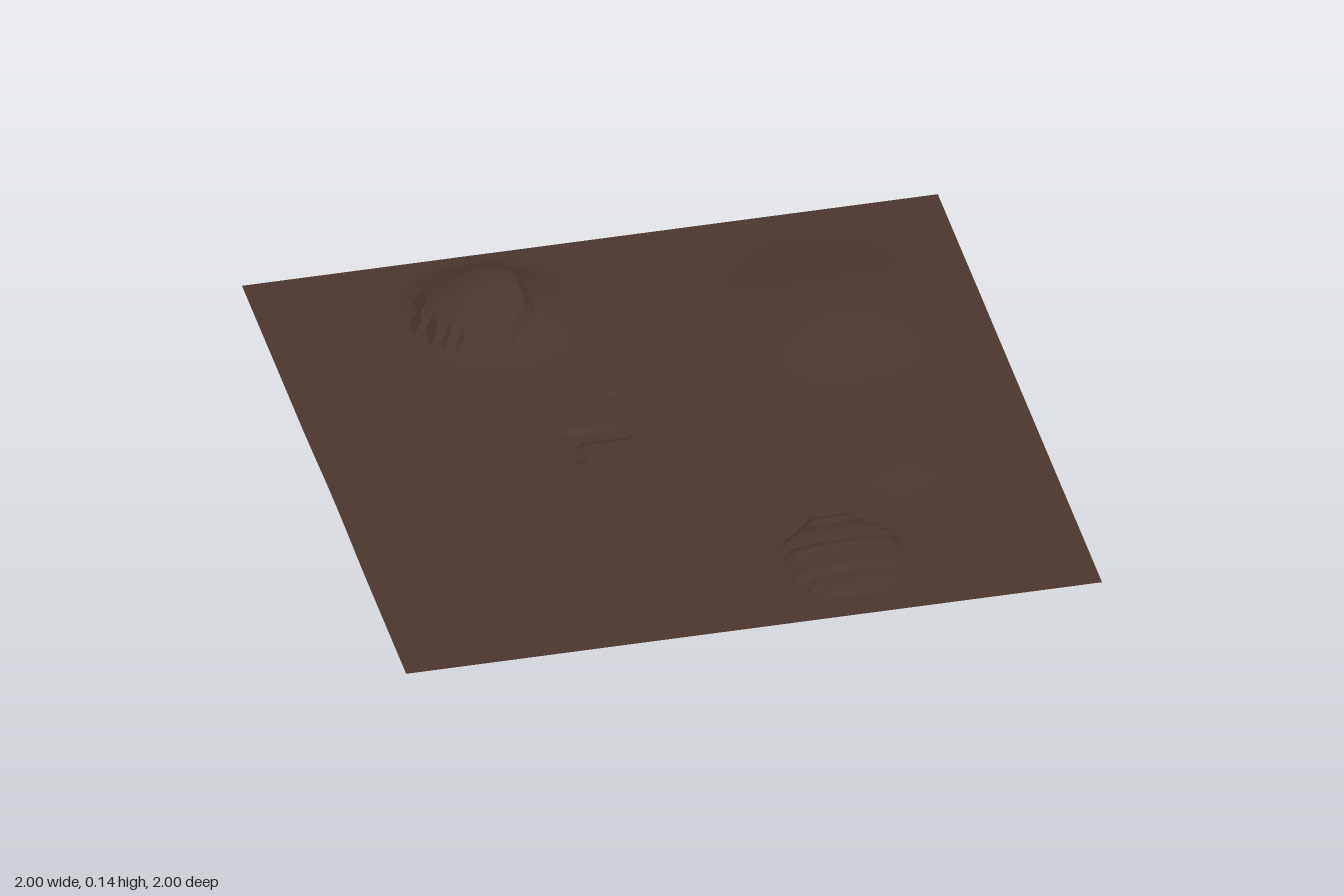
import * as THREE from 'three';
import { toCreasedNormals } from 'three/addons/utils/BufferGeometryUtils.js';

const CELLS = 64;
const BASE = 0.016;

// Soft rounded hills: x, z, radius in x, radius in z, height
const hills = [
  [0.57, -0.49, 0.46, 0.46, 0.069],
  [0.57, 0.22, 0.45, 0.36, 0.035],
  [-0.72, 0.13, 0.5, 0.5, 0.02],
  [-0.36, -0.7, 0.31, 0.31, 0.101],
];

// Abrupt raised patches: x, z, radius in x, radius in z, height at rim, extra height at centre
const patches = [
  [-0.41, -0.68, 0.155, 0.17, 0.024, 0.004],
  [0.33, 0.71, 0.17, 0.19, 0.012, 0.018],
  [0.11, -0.16, 0.08, 0.09, 0.004, 0.005],
];

// Shallow ditch as joined straight runs
const ditch = [[-0.125, -0.23], [-0.125, -0.045], [-0.29, -0.045], [-0.29, 0.06]];

// Repeatable roughness in the range 0 to 1
function rough(x, z) {
  const s = Math.sin(Math.round(x * 32) * 12.99 + Math.round(z * 32) * 78.23) * 43758.55;
  return s - Math.floor(s);
}

function ditchDistance(x, z) {
  let best = Infinity;
  for (let i = 0; i + 1 < ditch.length; i++) {
    const [ax, az] = ditch[i], [bx, bz] = ditch[i + 1];
    const dx = bx - ax, dz = bz - az;
    const t = THREE.MathUtils.clamp(((x - ax) * dx + (z - az) * dz) / (dx * dx + dz * dz), 0, 1);
    best = Math.min(best, Math.hypot(x - ax - dx * t, z - az - dz * t));
  }
  return best;
}

function heightAt(x, z) {
  let y = BASE;
  for (const [cx, cz, rx, rz, h] of hills) {
    const d = Math.hypot((x - cx) / rx, (z - cz) / rz);
    if (d < 1) y += h * Math.cos(d * Math.PI / 2) ** 2;
  }
  patches.forEach(([cx, cz, rx, rz, rim, rise], i) => {
    const d = Math.hypot((x - cx) / rx, (z - cz) / rz);
    if (d >= 1) return;
    y += rim + rise * (1 - d * d);
    // uneven ledges on the rocky patch
    if (i === 1) y += 0.004 * Math.sin(z * 75) + 0.003 * (rough(x, z) - 0.5);
  });
  if (ditchDistance(x, z) < 0.018) y -= 0.011;
  return Math.max(y, 0);
}

export function createModel() {
  const group = new THREE.Group();
  group.name = 'terrain';

  const soil = new THREE.MeshStandardMaterial({ color: 0x4b362d, side: THREE.DoubleSide });
  soil.name = 'brown soil';

  // Open ground sheet shaped by the height rule
  const sheet = new THREE.PlaneGeometry(2, 2, CELLS, CELLS).rotateX(-Math.PI / 2);
  const p = sheet.attributes.position;
  for (let i = 0; i < p.count; i++) p.setY(i, heightAt(p.getX(i), p.getZ(i)));

  // Settle the lowest point on the ground
  sheet.computeBoundingBox();
  sheet.translate(0, -sheet.boundingBox.min.y, 0);
  const lift = BASE - (heightAt(0, 0.95) - sheet.boundingBox.min.y);
  for (let i = 0; i < p.count; i++) {
    if (p.getY(i) > 0.004) p.setY(i, p.getY(i) + lift);
  }

  const ground = new THREE.Mesh(toCreasedNormals(sheet, 0.3), soil);
  ground.name = 'ground';
  group.add(ground);
  return group;
}
